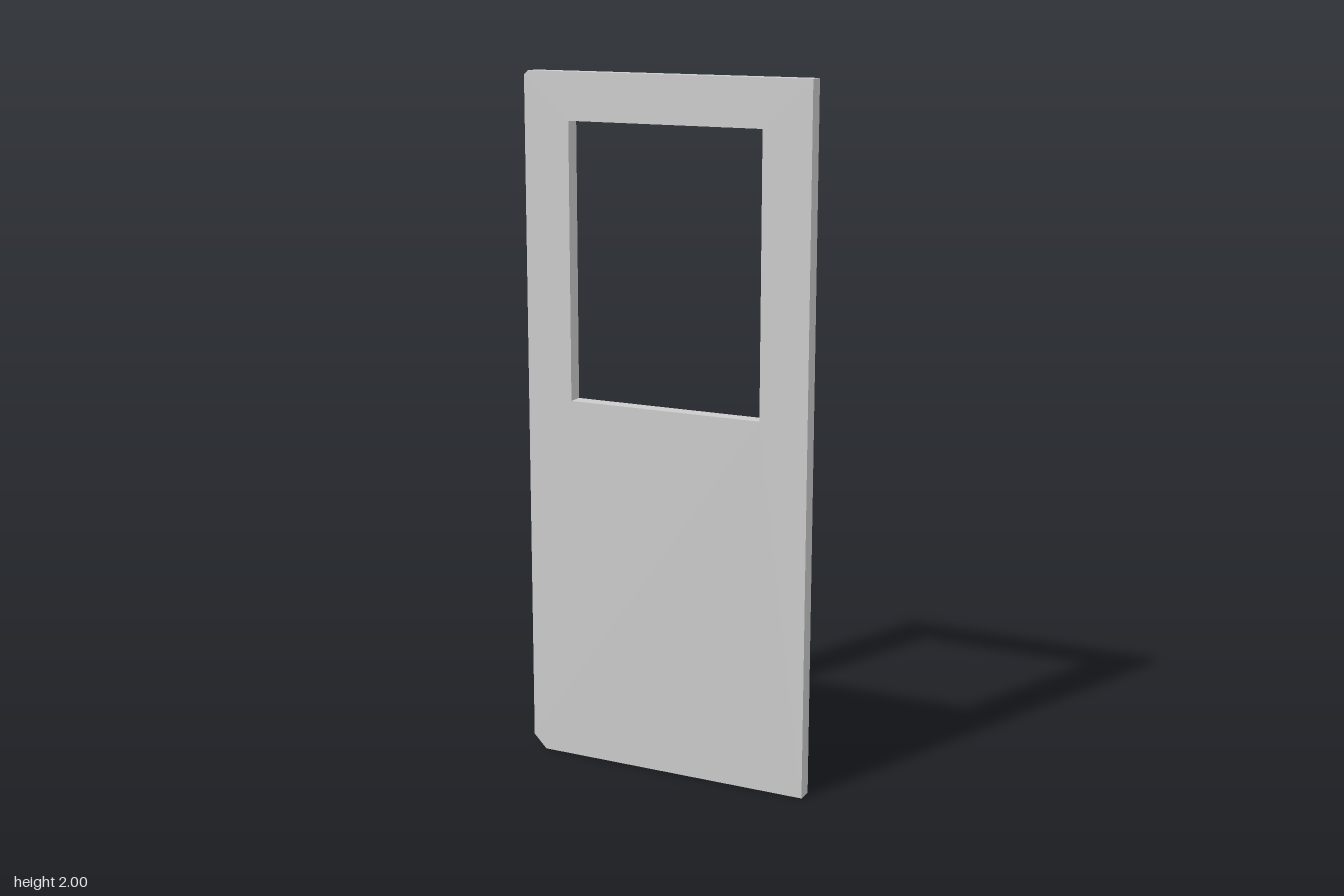
import * as THREE from 'three';

// Closed polygon from [x, y] pairs
const outline = (Type, pts) => new Type(pts.map(([x, y]) => new THREE.Vector2(x, y)));

export function createModel() {
  const group = new THREE.Group();
  group.name = 'door';

  const halfWidth = 0.433, height = 2, thickness = 0.045;
  const topCut = 0.012, bottomCut = 0.04;

  // Door slab with both corners of one edge cut off
  const slab = outline(THREE.Shape, [
    [-halfWidth + bottomCut, 0],
    [halfWidth, 0],
    [halfWidth, height],
    [-halfWidth + topCut, height],
    [-halfWidth, height - topCut],
    [-halfWidth, bottomCut],
  ]);

  // Window opening
  slab.holes.push(outline(THREE.Path, [
    [-0.294, 1.075], [-0.294, 1.866], [0.291, 1.866], [0.291, 1.075],
  ]));

  const geometry = new THREE.ExtrudeGeometry(slab, { depth: thickness, bevelEnabled: false });
  geometry.translate(0, 0, -thickness / 2);

  const panel = new THREE.Mesh(
    geometry,
    new THREE.MeshStandardMaterial({ color: 0xcccccc, flatShading: true }),
  );
  panel.name = 'doorPanel';
  group.add(panel);
  return group;
}
